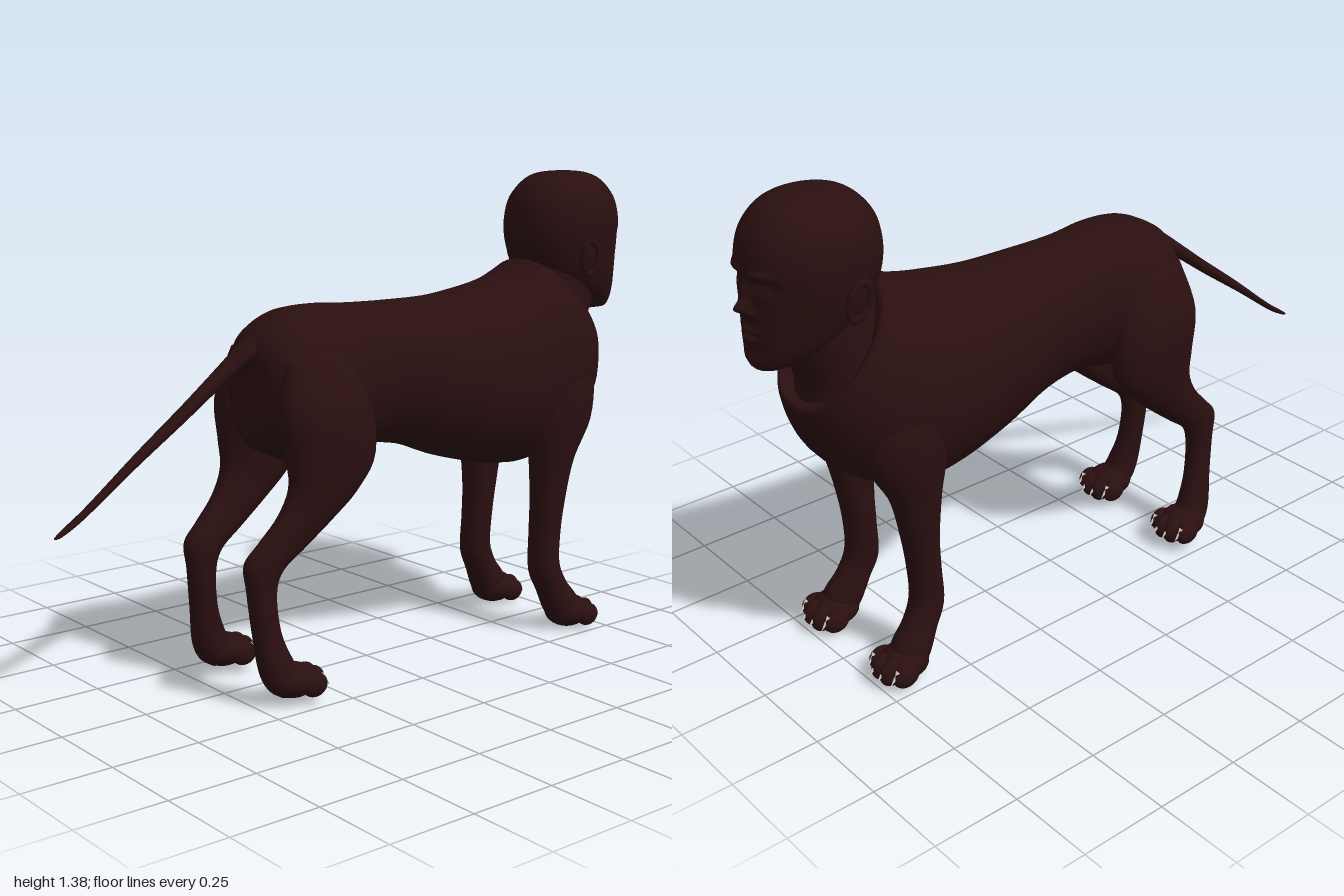
import * as THREE from 'three';

const skin = new THREE.MeshStandardMaterial({ color: 0x2a0f10 });
skin.name = 'dark brown skin';
const ivory = new THREE.MeshStandardMaterial({ color: 0xdedad6 });
ivory.name = 'ivory claws';

// Smooth loft. Section: [ax, ay, bx, by, z, halfWidth, m]; a and b are opposite
// ends of the section in the side plane, m is where between them it is widest.
function loft(name, sections, { side = 1, rings = 40, around = 32, power = 0.9, warp } = {}) {
  const n = sections.length, pos = [], index = [];
  const at = (k, c) => sections[Math.min(n - 1, Math.max(0, k))][c] ?? 0.5;
  const sample = (t, c) => {
    const k = Math.min(n - 2, Math.floor(t)), f = t - k;
    const p0 = at(k - 1, c), p1 = at(k, c), p2 = at(k + 1, c), p3 = at(k + 2, c);
    return p1 + 0.5 * f * (p2 - p0 + f * (2 * p0 - 5 * p1 + 4 * p2 - p3 + f * (3 * (p1 - p2) + p3 - p0)));
  };
  for (let i = 0; i <= rings; i++) {
    const [ax, ay, bx, by, z, w, m] = [0, 1, 2, 3, 4, 5, 6].map(c => sample(i / rings * (n - 1), c));
    for (let j = 0; j < around; j++) {
      const t = j / around * Math.PI * 2, c = Math.cos(t), s = Math.sin(t);
      const u = m + c * (c > 0 ? 1 - m : m);
      const v = new THREE.Vector3(ax + (bx - ax) * u, ay + (by - ay) * u,
        side * (z + w * Math.sign(s) * Math.abs(s) ** power));
      if (warp) warp(v, c);
      pos.push(v.x, v.y, v.z);
      if (i < rings) {
        const p = i * around + j, q = i * around + (j + 1) % around;
        index.push(p, q, p + around, q, q + around, p + around);
      }
    }
  }
  // End caps
  [0, rings].forEach(i => {
    const centre = new THREE.Vector3(), id = pos.length / 3;
    for (let j = 0; j < around; j++) {
      const p = i * around + j, q = i * around + (j + 1) % around;
      centre.add(new THREE.Vector3().fromArray(pos, p * 3));
      index.push(...(i ? [p, q, id] : [q, p, id]));
    }
    pos.push(...centre.divideScalar(around).toArray());
  });
  // Make faces point outward
  let volume = 0;
  const P = k => new THREE.Vector3().fromArray(pos, index[k] * 3);
  for (let k = 0; k < index.length; k += 3) volume += P(k).dot(P(k + 1).cross(P(k + 2)));
  if (volume < 0) index.reverse();
  const g = new THREE.BufferGeometry();
  g.setAttribute('position', new THREE.Float32BufferAttribute(pos, 3));
  g.setIndex(index);
  g.computeVertexNormals();
  const mesh = new THREE.Mesh(g, skin);
  mesh.name = name;
  return mesh;
}

function ball(name, x, y, z, rx, ry, rz) {
  const mesh = new THREE.Mesh(new THREE.SphereGeometry(1, 24, 16), skin);
  mesh.name = name;
  mesh.position.set(x, y, z);
  mesh.scale.set(rx, ry, rz);
  return mesh;
}

// Paw with four toes and claws; x is the heel
function paw(name, x, y, side) {
  const g = new THREE.Group();
  g.name = name;
  g.position.set(x, y, side * 0.165);
  g.add(ball('pad', 0.065, 0.047, 0, 0.068, 0.047, 0.066));
  for (let i = 0; i < 4; i++) {
    const o = i - 1.5, out = Math.abs(o) > 1, tx = out ? 0.1 : 0.118;
    g.add(ball('toe', tx, 0.04, o * 0.037, 0.04, out ? 0.034 : 0.04, 0.023));
    const claw = new THREE.Mesh(new THREE.ConeGeometry(0.009, 0.045, 8), ivory);
    claw.name = 'claw';
    claw.position.set(tx + 0.037, 0.045, o * 0.037);
    claw.rotation.z = -2.4;
    g.add(claw);
  }
  return g;
}

// Facial relief added to the front of the skull: [y, z, height, spreadY, spreadZ]
const relief = [
  [1.125, 0, 0.032, 0.018, 0.018], [1.16, 0, 0.018, 0.03, 0.012], // nose tip, bridge
  [1.112, 0.024, 0.012, 0.012, 0.012],                            // nostrils
  [1.187, 0.058, -0.016, 0.014, 0.026], [1.215, 0.055, 0.009, 0.01, 0.04], // sockets, brows
  [1.184, 0.058, 0.008, 0.007, 0.014],                            // eyelids
  [1.064, 0, 0.012, 0.009, 0.03], [1.041, 0, 0.011, 0.009, 0.026], // lips
  [1.053, 0, -0.007, 0.004, 0.036], [0.99, 0, 0.008, 0.016, 0.03], // mouth line, chin
];
function face(v, c) {
  if (c <= 0) return;
  let d = 0;
  for (const [y, z, h, sy, sz] of relief)
    d += h * Math.exp(-(((v.y - y) / sy) ** 2) - (((Math.abs(v.z) - z) / sz) ** 2));
  v.x += d * Math.min(1, c * 2);
}

export function createModel() {
  const model = new THREE.Group();
  model.name = 'creature';

  // Trunk, rump to open collar
  model.add(loft('body', [
    [-0.415, 0.93, -0.405, 0.78, 0, 0.03],
    [-0.405, 0.965, -0.395, 0.68, 0, 0.1],
    [-0.37, 1.0, -0.35, 0.65, 0, 0.15],
    [-0.29, 1.037, -0.28, 0.62, 0, 0.175],
    [-0.18, 1.045, -0.18, 0.62, 0, 0.175],
    [-0.05, 1.038, -0.05, 0.64, 0, 0.15],
    [0.1, 1.035, 0.1, 0.62, 0, 0.165],
    [0.25, 1.037, 0.25, 0.565, 0, 0.19, 0.52],
    [0.4, 1.055, 0.42, 0.522, 0, 0.215, 0.54],
    [0.48, 1.07, 0.56, 0.515, 0, 0.225, 0.54],
    [0.53, 1.085, 0.7, 0.575, 0, 0.228, 0.54],
    [0.565, 1.1, 0.795, 0.67, 0, 0.215, 0.52],
    [0.6, 1.12, 0.845, 0.8, 0, 0.172],
    [0.62, 1.1, 0.825, 0.825, 0, 0.145],
    [0.63, 1.04, 0.77, 0.83, 0, 0.11],
  ], { rings: 84, around: 48, power: 0.85 }));

  model.add(loft('neck', [
    [0.59, 0.82, 0.82, 0.8, 0, 0.11],
    [0.6, 0.96, 0.82, 0.88, 0, 0.115],
    [0.6, 1.06, 0.86, 0.97, 0, 0.115],
    [0.61, 1.14, 0.9, 1.06, 0, 0.11],
  ]));

  model.add(loft('head', [
    [0.88, 0.95, 0.92, 0.952, 0, 0.012],
    [0.83, 0.965, 0.945, 0.958, 0, 0.055],
    [0.76, 0.99, 0.953, 0.985, 0, 0.086],
    [0.69, 1.025, 0.954, 1.025, 0, 0.112],
    [0.635, 1.07, 0.953, 1.07, 0, 0.129],
    [0.602, 1.12, 0.952, 1.12, 0, 0.141],
    [0.585, 1.18, 0.952, 1.18, 0, 0.152],
    [0.585, 1.24, 0.953, 1.24, 0, 0.155],
    [0.602, 1.3, 0.935, 1.3, 0, 0.143],
    [0.643, 1.35, 0.895, 1.35, 0, 0.107],
    [0.69, 1.373, 0.845, 1.373, 0, 0.065],
    [0.76, 1.38, 0.78, 1.38, 0, 0.005],
  ], { rings: 130, around: 120, warp: face }));

  model.add(loft('tail', [
    [-0.33, 1.02, -0.36, 0.9, 0, 0.06],
    [-0.4, 0.975, -0.41, 0.91, 0, 0.042],
    [-0.48, 0.915, -0.5, 0.85, 0, 0.028],
    [-0.6, 0.822, -0.62, 0.765, 0, 0.021],
    [-0.75, 0.71, -0.77, 0.663, 0, 0.016],
    [-0.9, 0.592, -0.915, 0.56, 0, 0.013],
    [-0.975, 0.54, -0.98, 0.523, 0, 0.011],
    [-1, 0.522, -1, 0.518, 0, 0.003],
  ], { around: 20 }));

  for (const side of [1, -1]) {
    const label = side > 0 ? 'left' : 'right';

    model.add(loft(label + 'FrontLeg', [
      [0.54, 0.9, 0.7, 0.9, 0.13, 0.04],
      [0.5, 0.78, 0.74, 0.78, 0.15, 0.076],
      [0.5, 0.65, 0.73, 0.65, 0.155, 0.074],
      [0.52, 0.53, 0.665, 0.53, 0.153, 0.06],
      [0.53, 0.4, 0.633, 0.4, 0.15, 0.052],
      [0.528, 0.3, 0.618, 0.3, 0.15, 0.049],
      [0.524, 0.19, 0.617, 0.215, 0.153, 0.047],
      [0.553, 0.12, 0.645, 0.15, 0.158, 0.046],
      [0.585, 0.05, 0.69, 0.09, 0.163, 0.052],
      [0.61, 0.02, 0.68, 0.04, 0.165, 0.035],
    ], { side }));
    model.add(paw(label + 'FrontPaw', 0.595, 0, side));

    model.add(loft(label + 'HindLeg', [
      [-0.37, 0.93, -0.18, 0.93, 0.12, 0.05],
      [-0.405, 0.79, -0.12, 0.79, 0.148, 0.078],
      [-0.393, 0.67, -0.11, 0.65, 0.158, 0.07],
      [-0.385, 0.585, -0.17, 0.56, 0.16, 0.06],
      [-0.42, 0.51, -0.25, 0.49, 0.155, 0.05],
      [-0.48, 0.445, -0.34, 0.42, 0.148, 0.043],
      [-0.523, 0.395, -0.41, 0.365, 0.143, 0.039],
      [-0.515, 0.32, -0.432, 0.3, 0.143, 0.037],
      [-0.503, 0.2, -0.423, 0.2, 0.15, 0.037],
      [-0.49, 0.1, -0.395, 0.125, 0.16, 0.044],
      [-0.465, 0.045, -0.37, 0.08, 0.165, 0.046],
      [-0.43, 0.02, -0.39, 0.04, 0.165, 0.025],
    ], { side, rings: 50 }));
    model.add(paw(label + 'HindPaw', -0.458, 0.015, side));

    // Ear: rounded shell with a raised rim
    const ear = new THREE.Group();
    ear.name = label + 'Ear';
    ear.position.set(0.735, 1.128, side * 0.148);
    ear.rotation.set(side * 0.15, 0, 0.2);
    ear.add(ball('earShell', 0, 0, 0, 0.032, 0.056, 0.014));
    const rim = new THREE.Mesh(new THREE.TorusGeometry(0.03, 0.007, 8, 28), skin);
    rim.name = 'earRim';
    rim.scale.set(1, 1.7, 1);
    rim.position.z = side * 0.01;
    ear.add(rim);
    model.add(ear);
  }
  return model;
}
